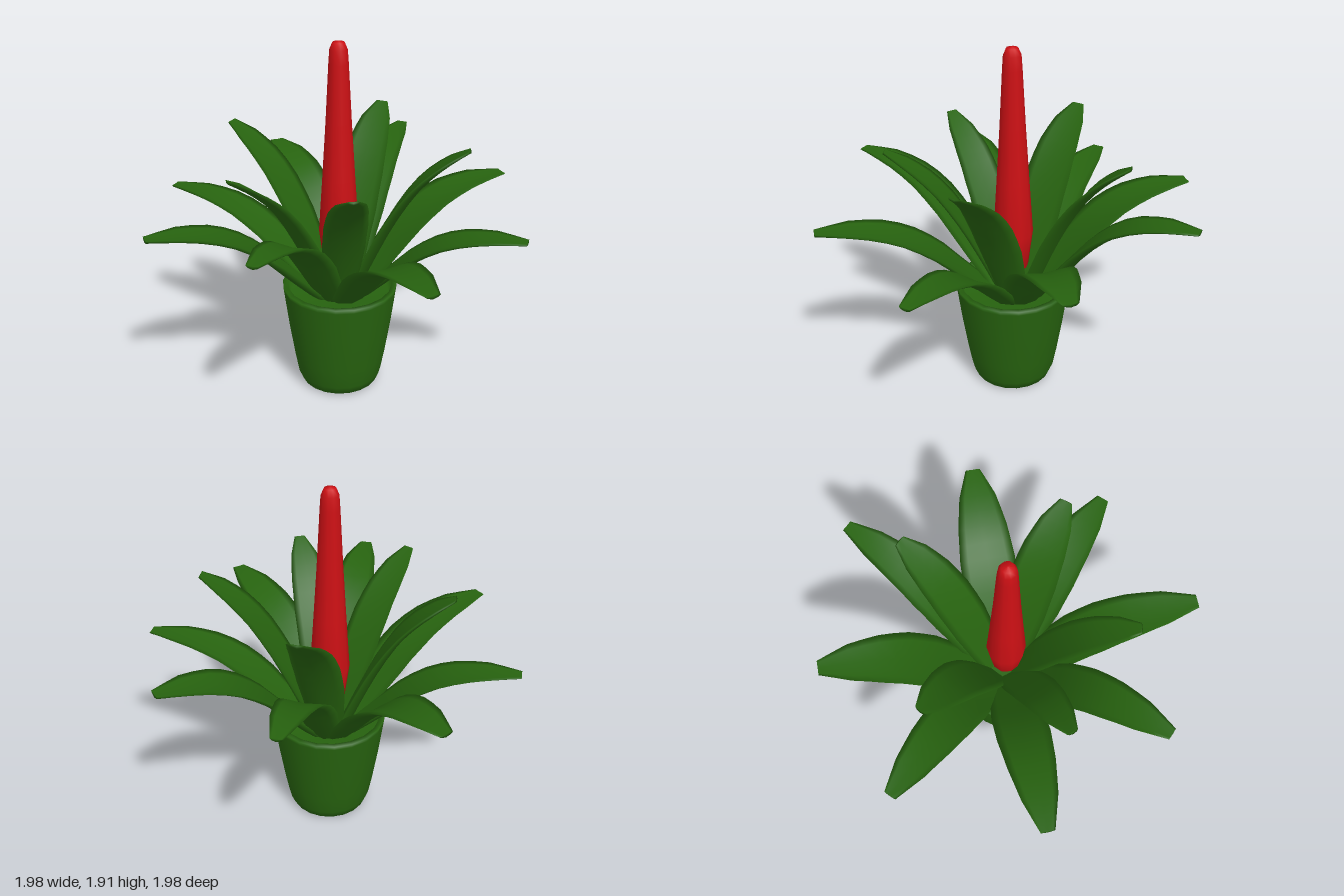
import * as THREE from 'three';

const green = new THREE.MeshStandardMaterial({ color: 0x27630f });
green.name = 'leaf green';
const red = new THREE.MeshStandardMaterial({ color: 0xcc1014 });
red.name = 'flower red';

const WIDTHS = [0.6, 0.85, 1, 1, 0.88, 0.66, 0.26]; // half width along a leaf
const RINGS = 12, SIDES = 8;

const sample = (list, u) => {
  const f = u * (list.length - 1), i = Math.min(Math.floor(f), list.length - 2);
  return THREE.MathUtils.lerp(list[i], list[i + 1], f - i);
};

// Leaf: a thin lens swept along an arching (radius, height) profile
function leafGeometry(profile, halfWidth) {
  const curve = new THREE.CatmullRomCurve3(profile.map(([r, y]) => new THREE.Vector3(r, y, 0)));
  const pos = [], index = [];
  for (let i = 0; i <= RINGS + 1; i++) {
    const u = Math.min(i / RINGS, 1);
    const closed = i > RINGS; // last ring shrinks to a point and closes the tip
    const p = curve.getPoint(u), t = curve.getTangent(u);
    const w = closed ? 0 : halfWidth * sample(WIDTHS, u);
    const thick = closed ? 0 : 0.026 - 0.018 * u;
    for (let j = 0; j < SIDES; j++) {
      const a = (j / SIDES) * Math.PI * 2;
      const c = Math.cos(a);
      const lift = thick * Math.sin(a) + 0.22 * w * (c * c - 0.5);
      pos.push(p.x - t.y * lift, p.y + t.x * lift, w * c);
      if (closed) continue;
      const k = i * SIDES + j, n = i * SIDES + ((j + 1) % SIDES);
      index.push(k, k + SIDES, n, n, k + SIDES, n + SIDES);
    }
  }
  const g = new THREE.BufferGeometry();
  g.setAttribute('position', new THREE.Float32BufferAttribute(pos, 3));
  g.setIndex(index);
  g.computeVertexNormals();
  return g;
}

// Arch shapes as fractions of reach and of the rise above the pot
const LOW = [[0.08, 0], [0.26, 0.34], [0.42, 0.64], [0.6, 0.86], [0.8, 0.97], [1, 1]];
const TALL = [[0.08, 0], [0.24, 0.28], [0.42, 0.55], [0.62, 0.77], [0.82, 0.91], [1, 1]];

// Each leaf: name, tip x, tip height, tip z, half width, arch
const LEAVES = [
  ['leftOuterLeaf', 0.99, 1.0, 0, 0.13, LOW],
  ['rightOuterLeaf', -0.99, 1.0, 0, 0.13, LOW],
  ['frontOuterLeaf', 0, 1.16, 0.99, 0.125, LOW],
  ['backOuterLeaf', 0.01, 1.18, -0.99, 0.12, LOW],
  ['backLeftLeaf', 0.7, 1.08, -0.67, 0.15, LOW],
  ['backRightLeaf', -0.68, 1.08, -0.67, 0.15, LOW],
  ['frontLeftLeaf', 0.73, 1.04, 0.74, 0.14, LOW],
  ['frontRightLeaf', -0.71, 1.04, 0.74, 0.14, LOW],
  ['leftInnerLeaf', 0.66, 1.41, -0.06, 0.13, TALL],
  ['rightInnerLeaf', -0.63, 1.41, -0.03, 0.13, TALL],
  ['backInnerLeaf', 0.01, 1.42, -0.62, 0.125, TALL],
  ['frontLeftInnerLeaf', 0.31, 1.35, 0.6, 0.11, TALL],
  ['frontRightInnerLeaf', -0.31, 1.35, 0.6, 0.11, TALL],
];

function add(group, name, geometry, material, x = 0, y = 0, z = 0) {
  const mesh = new THREE.Mesh(geometry, material);
  mesh.name = name;
  mesh.position.set(x, y, z);
  group.add(mesh);
  return mesh;
}

const lathe = (points, sides) =>
  new THREE.LatheGeometry(points.map(([r, y]) => new THREE.Vector2(r, y)), sides);

export function createModel() {
  const model = new THREE.Group();
  model.name = 'pottedPlant';

  // Pot with rounded foot, rim and filled inside
  add(model, 'pot', lathe([
    [0, 0], [0.18, 0], [0.21, 0.012], [0.23, 0.06], [0.25, 0.17], [0.28, 0.37],
    [0.305, 0.57], [0.308, 0.592], [0.28, 0.592], [0.265, 0.54], [0, 0.54],
  ], 20), green, 0.01, 0, 0.02);

  // Rosette of leaves
  const rosette = new THREE.Group();
  rosette.name = 'leaves';
  model.add(rosette);
  for (const [name, x, y, z, halfWidth, arch] of LEAVES) {
    const reach = Math.hypot(x, z), base = 0.5;
    const profile = arch.map(([r, h]) => [r * reach, base + h * (y - base)]);
    add(rosette, name, leafGeometry(profile, halfWidth), green).rotation.y = Math.atan2(-z, x);
  }

  // Red flower spike with a blunt rounded tip, leaning very slightly back
  const spike = add(model, 'flowerSpike', lathe([
    [0, 0.6], [0.08, 0.7], [0.105, 0.9], [0.085, 1.2], [0.066, 1.5], [0.05, 1.8],
    [0.045, 1.87], [0.03, 1.905], [0, 1.912],
  ], 10), red, 0.005, 0, 0.015);
  spike.rotation.x = 0.004;

  return model;
}
